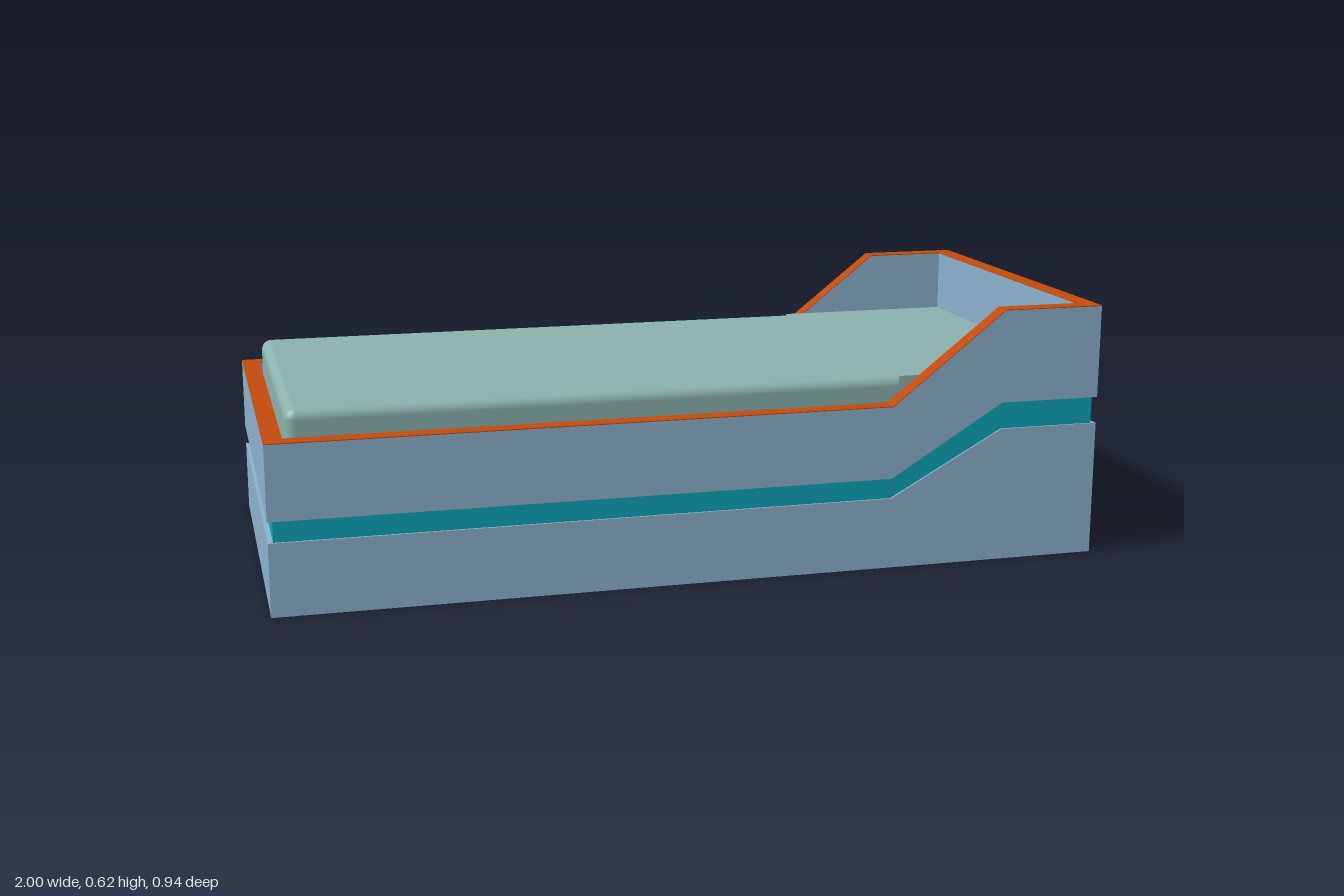
import * as THREE from 'three';
import { RoundedBoxGeometry } from 'three/addons/geometries/RoundedBoxGeometry.js';

const mat = (name, color) => {
  const m = new THREE.MeshStandardMaterial({ color });
  m.name = name;
  return m;
};

const HALF_Z = 0.472;  // half width of the frame
const WALL = 0.044;    // wall thickness
const BEND = [0.47, 0.75]; // where the sides start and stop rising

export function createModel() {
  const blue = mat('frame blue', 0x8bb0cb);
  const teal = mat('stripe teal', 0x0ea5b9);
  const orange = mat('rim orange', 0xc24a0c);
  const sage = mat('mattress sage', 0x8ab2ac);
  const model = new THREE.Group();
  model.name = 'bed';

  const add = (name, geometry, material, x = 0, y = 0, z = 0) => {
    const mesh = new THREE.Mesh(geometry, material);
    mesh.name = name;
    mesh.position.set(x, y, z);
    model.add(mesh);
    return mesh;
  };

  // Outline that steps up toward the head: low and high heights at each end
  const line = (half, low, high) => [[-half, low], [BEND[0], low], [BEND[1], high], [half, high]];
  // Solid between a bottom and a top outline, extruded across z
  const band = (half, bottom, top, depth) => {
    const points = [...line(half, ...bottom), ...line(half, ...top).reverse()];
    const shape = new THREE.Shape(points.map(([x, y]) => new THREE.Vector2(x, y)));
    const geometry = new THREE.ExtrudeGeometry(shape, { depth, bevelEnabled: false });
    return geometry.translate(0, 0, -depth / 2);
  };

  const stripeLow = [0.173, 0.328];
  const stripeHigh = [0.222, 0.393];
  const rimLow = [0.398, 0.618];
  const rimTop = [0.4, 0.62];

  // Solid base and the recessed stripe above it
  add('base', band(1, [0, 0], stripeLow, 2 * HALF_Z), blue);
  add('stripe', band(0.988, stripeLow, stripeHigh, 2 * HALF_Z - 0.01), teal);

  // Side walls with coloured rims
  for (const side of [1, -1]) {
    const z = side * (HALF_Z - WALL / 2);
    add('sideWall', band(1, stripeHigh, rimLow, WALL), blue, 0, 0, z);
    add('sideRim', band(1, rimLow, rimTop, WALL), orange, 0, 0, z);
  }

  // End walls: foot at -x, head at +x
  const inner = 2 * (HALF_Z - WALL);
  [[-1, 0], [1, 1]].forEach(([side, i]) => {
    const x = side * (1 - WALL / 2);
    const name = i ? 'head' : 'foot';
    const height = rimLow[i] - stripeHigh[i];
    add(name + 'Wall', new THREE.BoxGeometry(WALL, height, inner), blue, x, stripeHigh[i] + height / 2);
    add(name + 'Rim', new THREE.BoxGeometry(WALL, 0.002, inner), orange, x, rimTop[i] - 0.001);
  });

  // Mattress: soft edges along the low part, square where it fills the head
  const top = 0.463;
  const bottom = 0.225;
  const midY = (top + bottom) / 2;
  add('mattress', new RoundedBoxGeometry(1.48, top - bottom, 0.856, 4, 0.025), sage, -0.21, midY);
  add('mattressHead', new THREE.BoxGeometry(0.455, top - bottom, 0.856), sage, 0.7275, midY);

  return model;
}
